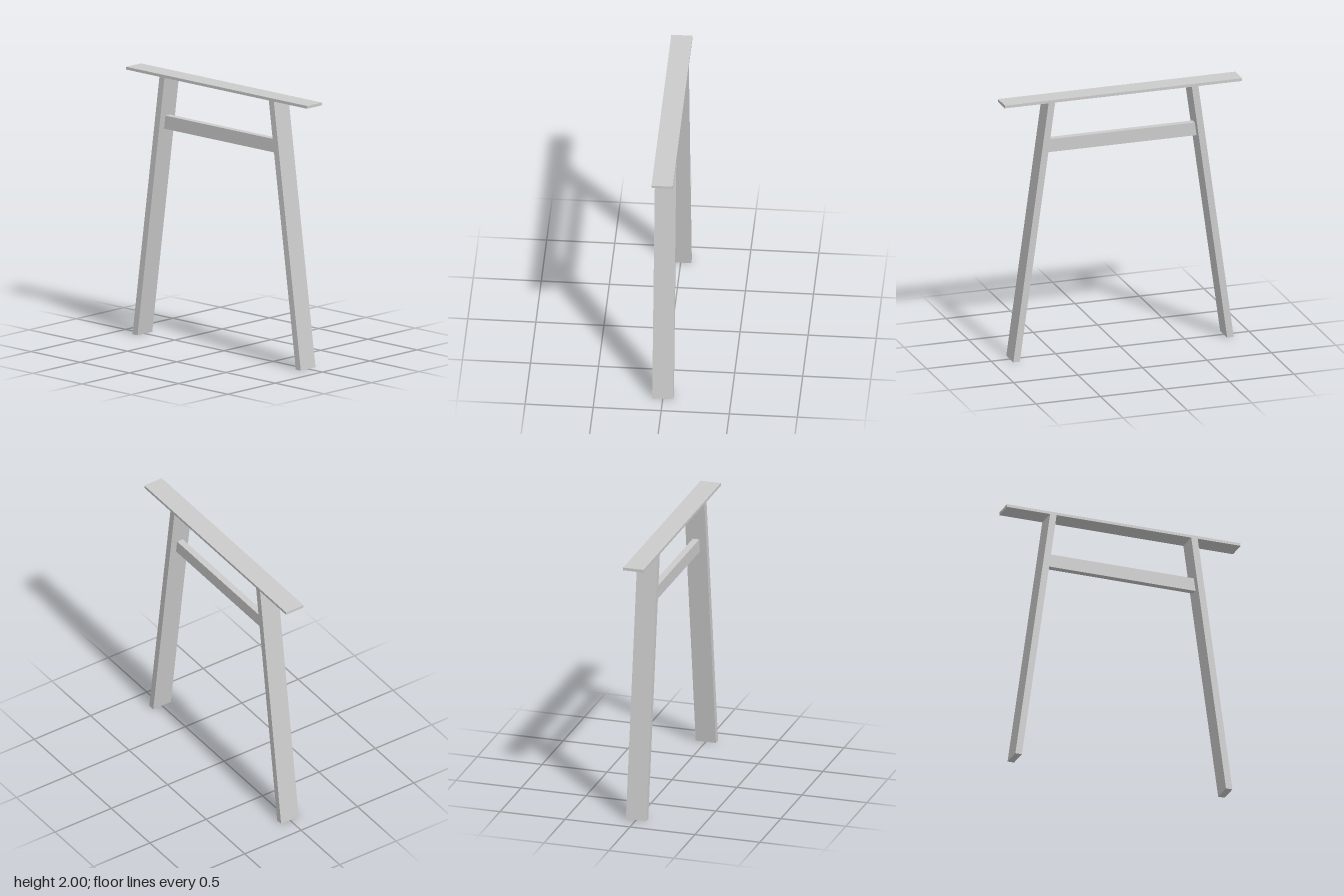
import * as THREE from 'three';

const material = new THREE.MeshStandardMaterial({ color: 0xcccccc, flatShading: true });

// Extrude a side outline of [z, y] points to a given width, centred on x = 0
function plank(name, outline, width) {
  const shape = new THREE.Shape(outline.map(([z, y]) => new THREE.Vector2(-z, y)));
  const geometry = new THREE.ExtrudeGeometry(shape, { depth: width, bevelEnabled: false });
  geometry.translate(0, 0, -width / 2);
  geometry.rotateY(Math.PI / 2);
  const mesh = new THREE.Mesh(geometry, material);
  mesh.name = name;
  return mesh;
}

export function createModel() {
  const group = new THREE.Group();
  group.name = 'trestle';

  const width = 0.156;
  const topY = 1.979;
  // z of a leg's inner face at a given height
  const innerZ = (y) => THREE.MathUtils.lerp(0.804, 0.53, y / topY);
  const legDepth = 0.051;

  // Flat top board
  group.add(plank('topBoard', [[-0.92, topY], [0.92, topY], [0.92, 2], [-0.92, 2]], width));

  // Splayed legs, cut level at foot and top
  for (const [name, s] of [['frontLeg', 1], ['backLeg', -1]]) {
    group.add(plank(name, [
      [s * innerZ(0), 0], [s * (innerZ(0) + legDepth), 0],
      [s * (innerZ(topY) + legDepth), topY], [s * innerZ(topY), topY],
    ], width));
  }

  // Narrow crossbar with ends mitred to the legs
  const low = 1.58, high = 1.68;
  group.add(plank('crossbar', [
    [-innerZ(low), low], [innerZ(low), low], [innerZ(high), high], [-innerZ(high), high],
  ], 0.05));

  return group;
}
